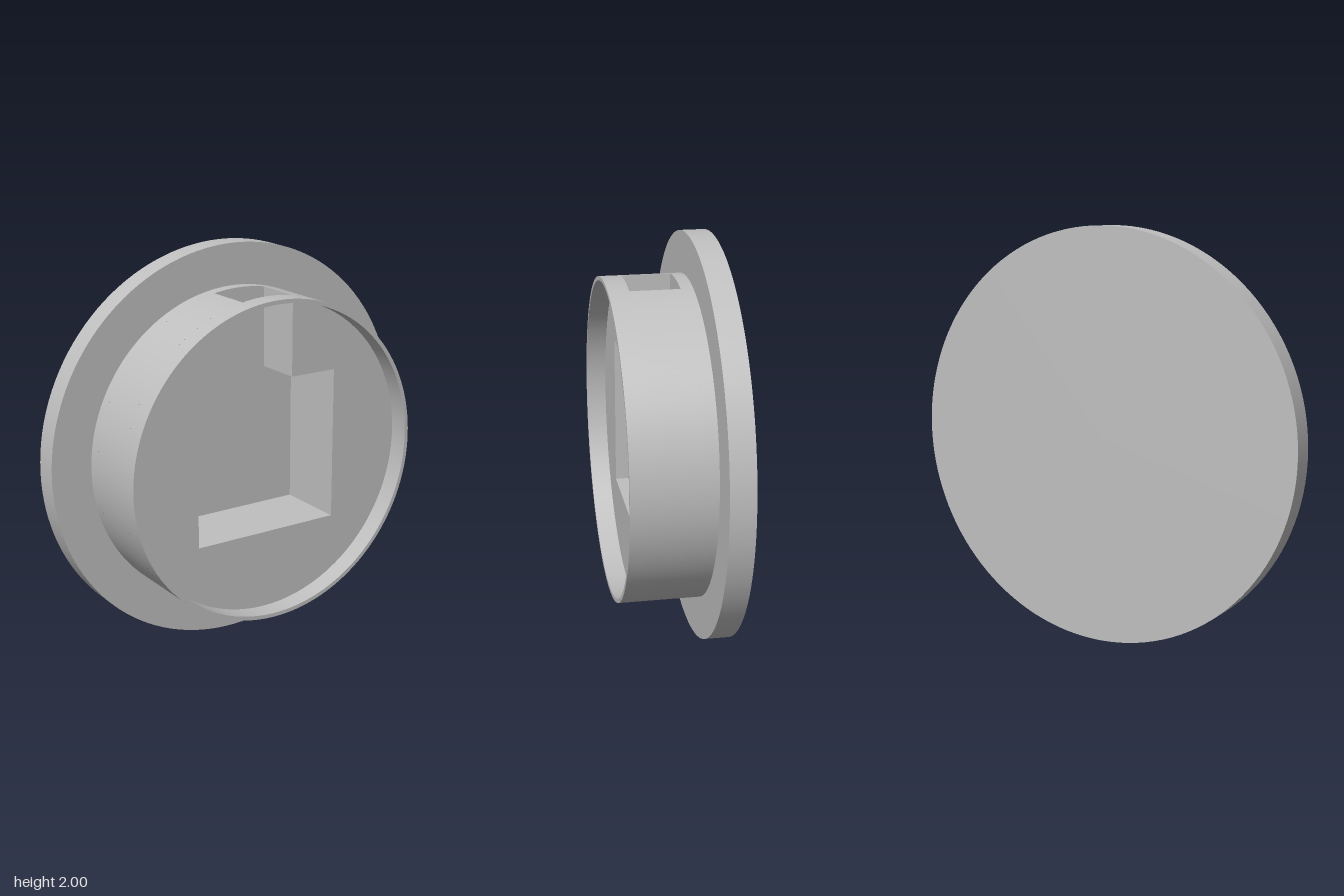
import * as THREE from 'three';

const FLANGE_R = 1, BODY_R = 0.795, RIM_R = 0.775;
// depth levels from back to front
const BACK = -0.26, POCKET = -0.2, FLANGE = -0.14, SLOT = -0.08, RECESS = 0.16, FRONT = 0.26;
const P = 0.393, TOP = 0.385, BOTTOM = -0.38, S = 0.142; // pocket and slot outline
const SLOT_ANGLE = Math.asin(S / BODY_R), RIM_ANGLE = Math.asin(S / RIM_R);
const SLOT_TOP = BODY_R * Math.cos(SLOT_ANGLE);

export function createModel() {
  const group = new THREE.Group();
  const grey = new THREE.MeshStandardMaterial({ color: 0xbfbfbf });
  grey.name = 'grey';

  const add = (name, geometry) => {
    const mesh = new THREE.Mesh(geometry, grey);
    mesh.name = name;
    group.add(mesh);
  };
  // Cylinder or ring surface around z; angle 0 points down
  const band = (name, r0, z0, r1, z1, start = 0, length = Math.PI * 2) => {
    const profile = [new THREE.Vector2(r0, z0), new THREE.Vector2(r1, z1)];
    add(name, new THREE.LatheGeometry(profile, 128, start, length).rotateX(Math.PI / 2));
  };
  // Upright wall whose visible side is to the right of a to b
  const wall = (name, a, b, z0, z1) => {
    const dx = b[0] - a[0], dy = b[1] - a[1];
    add(name, new THREE.PlaneGeometry(Math.hypot(dx, dy), z1 - z0)
      .rotateX(Math.PI / 2)
      .rotateZ(Math.atan2(dy, dx))
      .translate((a[0] + b[0]) / 2, (a[1] + b[1]) / 2, (z0 + z1) / 2));
  };

  // Flange disc
  add('flangeBack', new THREE.CircleGeometry(FLANGE_R, 128).rotateY(Math.PI).translate(0, 0, BACK));
  band('flangeEdge', FLANGE_R, BACK, FLANGE_R, FLANGE);
  band('flangeFront', FLANGE_R, FLANGE, BODY_R, FLANGE);

  // Body wall, open at the slot
  band('bodyBase', BODY_R, FLANGE, BODY_R, SLOT);
  band('bodyWall', BODY_R, SLOT, BODY_R, RECESS, Math.PI + SLOT_ANGLE, 2 * (Math.PI - SLOT_ANGLE));

  // Raised rim
  band('rimOuter', BODY_R, RECESS, BODY_R, FRONT);
  band('rimFront', BODY_R, FRONT, RIM_R, FRONT);
  band('rimInner', RIM_R, FRONT, RIM_R, RECESS);
  band('rimUnderside', RIM_R, RECESS, BODY_R, RECESS, Math.PI - SLOT_ANGLE, 2 * SLOT_ANGLE);

  // Keyhole outline, clockwise from the top right of the slot
  const outline = [[S, SLOT_TOP], [S, TOP], [P, TOP], [P, BOTTOM],
    [-P, BOTTOM], [-P, TOP], [-S, TOP], [-S, SLOT_TOP]];

  // Recessed face around the keyhole
  const face = new THREE.Shape();
  face.absarc(0, 0, RIM_R, Math.PI / 2 + RIM_ANGLE, Math.PI * 2.5 - RIM_ANGLE, false);
  outline.slice(1, 7).forEach(([x, y]) => face.lineTo(x, y));
  face.closePath();
  add('recessedFace', new THREE.ShapeGeometry(face, 128).translate(0, 0, RECESS));

  // Pocket and slot walls
  for (let i = 0; i < 7; i++) {
    const isSlot = i === 0 || i === 6;
    wall(isSlot ? 'slotWall' : 'pocketWall', outline[i], outline[i + 1], isSlot ? SLOT : POCKET, RECESS);
  }
  wall('slotStep', [-S, TOP], [S, TOP], POCKET, SLOT);

  // Floors
  add('pocketFloor', new THREE.PlaneGeometry(2 * P, TOP - BOTTOM).translate(0, (TOP + BOTTOM) / 2, POCKET));
  const floor = new THREE.Shape();
  floor.moveTo(-S, TOP);
  floor.lineTo(S, TOP);
  floor.absarc(0, 0, BODY_R, Math.PI / 2 - SLOT_ANGLE, Math.PI / 2 + SLOT_ANGLE, false);
  floor.closePath();
  add('slotFloor', new THREE.ShapeGeometry(floor, 16).translate(0, 0, SLOT));

  group.children.forEach((mesh) => { mesh.position.y = 1; });
  return group;
}
